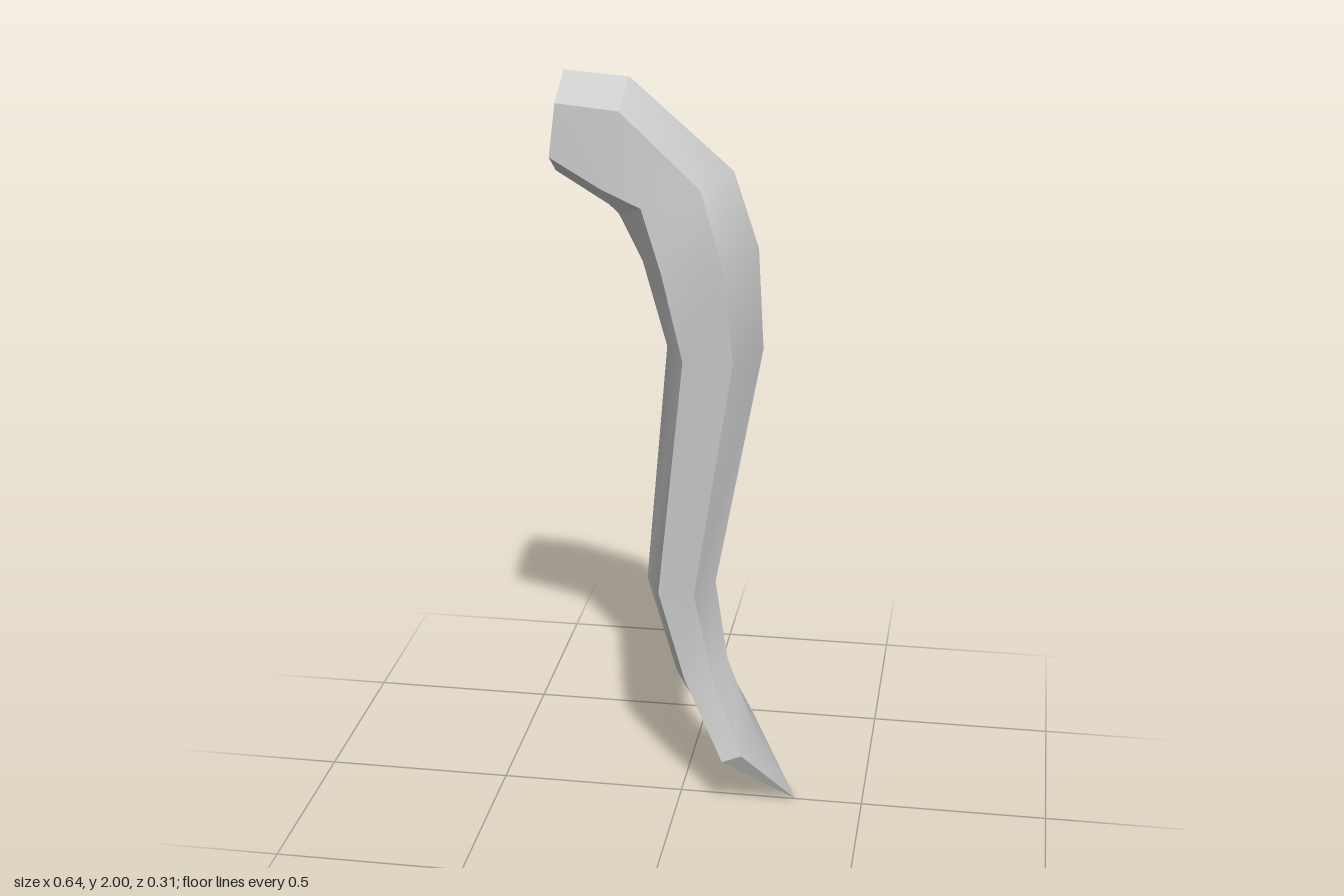
import * as THREE from 'three';
import { toCreasedNormals } from 'three/addons/utils/BufferGeometryUtils.js';

// Six-sided rings from the blunt upper end to the lower point:
// outer ridge x,y | outer edge x,y | inner edge x,y | inner ridge x,y | half width
const RINGS = [
  [-0.295, 2.0, -0.295, 1.94, -0.312, 1.805, -0.32, 1.745, 0.115],
  [-0.13, 1.988, -0.137, 1.925, -0.185, 1.73, -0.185, 1.663, 0.115],
  [0.132, 1.76, 0.068, 1.742, -0.08, 1.69, -0.16, 1.64, 0.137],
  [0.197, 1.565, 0.126, 1.55, -0.027, 1.53, -0.1, 1.52, 0.153],
  [0.212, 1.3, 0.15, 1.3, 0.022, 1.295, -0.037, 1.295, 0.125],
  [0.092, 0.64, 0.048, 0.64, -0.047, 0.64, -0.092, 0.64, 0.095],
  [0.126, 0.415, 0.093, 0.4, 0.02, 0.38, -0.013, 0.37, 0.075],
  [0.205, 0.205, 0.182, 0.19, 0.13, 0.168, 0.107, 0.155, 0.128],
];
const TIP = [0.318, 0, 0];

function ringPoints([ox, oy, ex, ey, ix, iy, rx, ry, w]) {
  return [
    [ox, oy, 0], [ex, ey, w], [ix, iy, w],
    [rx, ry, 0], [ix, iy, -w], [ex, ey, -w],
  ];
}

function buildBody() {
  const rings = RINGS.map(ringPoints);
  const positions = [];
  const tri = (a, b, c) => positions.push(...a, ...b, ...c);

  // walls between neighbouring rings
  for (let r = 0; r < rings.length - 1; r++) {
    const a = rings[r], b = rings[r + 1];
    for (let i = 0; i < 6; i++) {
      const j = (i + 1) % 6;
      tri(a[i], a[j], b[j]);
      tri(a[i], b[j], b[i]);
    }
  }

  // pointed lower end
  const last = rings[rings.length - 1];
  for (let i = 0; i < 6; i++) tri(last[i], last[(i + 1) % 6], TIP);

  // flat cap on the upper end
  const first = rings[0];
  for (let i = 1; i < 5; i++) tri(first[0], first[i + 1], first[i]);

  const geometry = new THREE.BufferGeometry();
  geometry.setAttribute('position', new THREE.Float32BufferAttribute(positions, 3));
  return toCreasedNormals(geometry, THREE.MathUtils.degToRad(30));
}

export function createModel() {
  const group = new THREE.Group();
  group.name = 'curvedHorn';
  const body = new THREE.Mesh(buildBody(), new THREE.MeshStandardMaterial({ color: 0xcccccc }));
  body.name = 'hornBody';
  group.add(body);
  return group;
}
